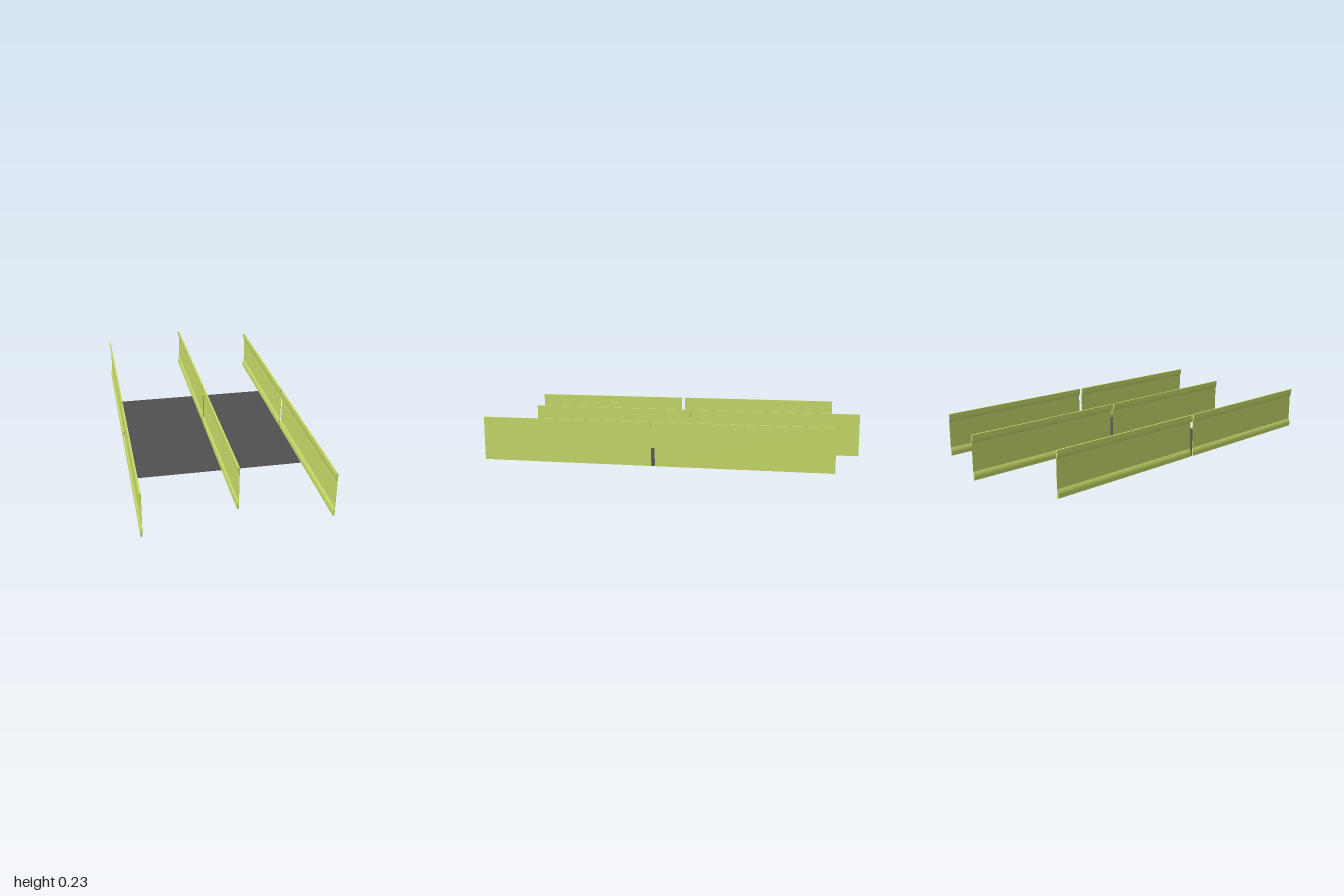
import * as THREE from 'three';

const HEIGHT = 0.232, DEPTH = 0.009, WEB = 0.001, PANEL = 0.92, GAP = 0.02;

// Thin upright web with a thick, sloped lip at the top and the bottom
function panelGeometry() {
  const lower = [[-DEPTH, 0], [-DEPTH, 0.022], [-DEPTH * 0.75, 0.032], [-WEB, 0.044]];
  const upper = lower.map(([x, y]) => [x, HEIGHT - y]).reverse();
  const outline = [[0, 0], [0, HEIGHT], ...upper.reverse(), ...lower.slice().reverse()];
  const shape = new THREE.Shape(outline.map(([x, y]) => new THREE.Vector2(x, y)));
  return new THREE.ExtrudeGeometry(shape, { depth: PANEL, bevelEnabled: false });
}

export function createModel() {
  const model = new THREE.Group();
  const green = new THREE.MeshStandardMaterial({ color: 0xc8dc69, flatShading: true });
  const dark = new THREE.MeshStandardMaterial({ color: 0x505050, side: THREE.DoubleSide });
  const geometry = panelGeometry();

  // Three rows, each of two panels end to end with a narrow gap
  const rows = [
    ['rightRow', -0.453, -0.86],
    ['middleRow', 0.027, -1],
    ['leftRow', 0.461, -0.865],
  ];
  for (const [name, x, zStart] of rows) {
    const row = new THREE.Group();
    row.name = name;
    for (let i = 0; i < 2; i++) {
      const panel = new THREE.Mesh(geometry, green);
      panel.name = i ? 'frontPanel' : 'backPanel';
      panel.position.set(x, 0, zStart + i * (PANEL + GAP));
      row.add(panel);
    }
    model.add(row);
  }

  // Flat square floor sheet under the rows
  const floor = new THREE.Mesh(new THREE.PlaneGeometry(0.917, 0.92), dark);
  floor.name = 'floorSheet';
  floor.rotation.x = -Math.PI / 2;
  floor.position.set(0.0015, 0.001, 0.036);
  model.add(floor);

  return model;
}
